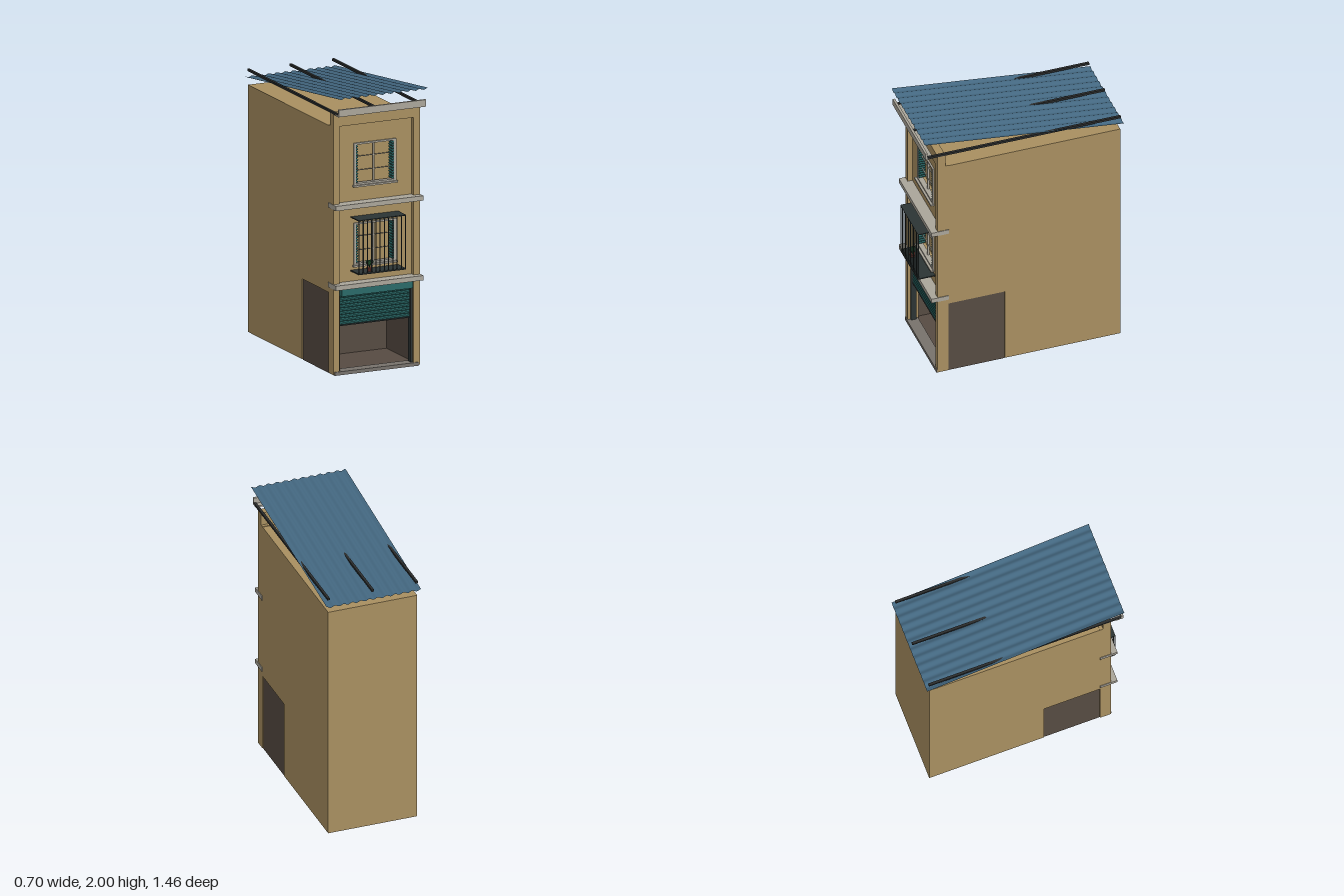
import * as THREE from 'three';

const mat = (color) => new THREE.MeshStandardMaterial({ color, side: THREE.DoubleSide, flatShading: true });
const TAN = mat(0xa88f60), TRIM = mat(0xaaa59a), TEAL = mat(0x2a6a68), DARK = mat(0x2c3434),
  ROOF = mat(0x436780), BROWN = mat(0x564b42), BEAM = mat(0x2a2c2c), GREEN = mat(0x1f4a2a),
  CLAY = mat(0x7a3a30), CURB = mat(0x77726c);

function add(parent, name, geo, material) {
  const m = new THREE.Mesh(geo, material);
  m.name = name;
  parent.add(m);
  return m;
}

// Box given by its limits on each axis
function box(parent, name, material, x0, x1, y0, y1, z0, z1) {
  const m = add(parent, name, new THREE.BoxGeometry(x1 - x0, y1 - y0, z1 - z0), material);
  m.position.set((x0 + x1) / 2, (y0 + y1) / 2, (z0 + z1) / 2);
  return m;
}

const poly = (pts) => new THREE.Shape(pts.map(([x, y]) => new THREE.Vector2(x, y)));
const rect = (w, y0, y1) => poly([[-w, y0], [w, y0], [w, y1], [-w, y1]]);
function slab(shape, z0, z1) {
  return new THREE.ExtrudeGeometry(shape, { depth: z1 - z0, bevelEnabled: false }).translate(0, 0, z0);
}
// Upside-down U around a central opening
const arch = (w, top, iw, itop) => poly([[-w, 0.005], [-iw, 0.005], [-iw, itop], [iw, itop],
  [iw, 0.005], [w, 0.005], [w, top], [-w, top]]);

// Window with frame, muntins, sill and folded louvred shutters; y0 is the frame bottom
function makeWindow(y0) {
  const g = new THREE.Group();
  g.name = 'window';
  const y1 = y0 + 0.3;
  const ring = rect(0.163, y0, y1);
  ring.holes.push(rect(0.147, y0 + 0.012, y1 - 0.012));
  add(g, 'windowFrame', slab(ring, 0.575, 0.612), TRIM);
  box(g, 'windowSill', TRIM, -0.17, 0.17, y0 - 0.012, y0, 0.59, 0.628);
  box(g, 'windowMullion', TRIM, -0.005, 0.005, y0, y1, 0.578, 0.592);
  for (const f of [0.33, 0.66]) {
    box(g, 'windowMuntin', TRIM, -0.147, 0.147, y0 + 0.3 * f - 0.002, y0 + 0.3 * f + 0.002, 0.58, 0.588);
  }
  for (const s of [-1, 1]) {
    box(g, 'shutterLeaf', DARK, s * 0.142 - 0.005, s * 0.142 + 0.005, y0 + 0.012, y1 - 0.012, 0.56, 0.605);
    for (let i = 0; i < 14; i++) {
      const y = y0 + 0.024 + i * 0.0194;
      const l = box(g, 'shutterLouvre', TEAL, s * 0.138 - 0.009, s * 0.138 + 0.009, y - 0.005, y + 0.005, 0.56, 0.607);
      l.rotation.z = s * 0.5;
    }
  }
  return g;
}

function makeBalcony() {
  const g = new THREE.Group();
  g.name = 'balcony';
  box(g, 'balconyFloor', DARK, -0.183, 0.183, 0.722, 0.73, 0.6, 0.726);
  box(g, 'balconyTop', DARK, -0.183, 0.183, 1.106, 1.112, 0.6, 0.726);
  for (let i = 0; i < 12; i++) {
    const x = -0.18 + i * 0.36 / 11;
    box(g, 'balconyBar', DARK, x - 0.003, x + 0.003, 0.725, 1.11, 0.72, 0.726);
  }
  // Potted plant
  add(g, 'flowerPot', new THREE.CylinderGeometry(0.021, 0.016, 0.025, 10), CLAY).position.set(-0.075, 0.742, 0.675);
  add(g, 'plantStem', new THREE.CylinderGeometry(0.004, 0.004, 0.03, 6), GREEN).position.set(-0.075, 0.765, 0.675);
  for (const [dx, dy, dz, r] of [[0, 0, 0, 0.02], [0.01, 0.008, 0.005, 0.016], [-0.01, 0.006, -0.005, 0.016]]) {
    add(g, 'plantLeaves', new THREE.IcosahedronGeometry(r, 1), GREEN).position.set(-0.075 + dx, 0.787 + dy, 0.675 + dz);
  }
  return g;
}

function makeGarage() {
  const g = new THREE.Group();
  g.name = 'garage';
  for (const s of [-1, 1]) {
    box(g, 'garageWall', BROWN, s * 0.32 - 0.005, s * 0.32 + 0.005, 0.005, 0.578, 0.14, 0.555);
    box(g, 'doorRail', DARK, s * 0.278 - 0.007, s * 0.278 + 0.007, 0.02, 0.56, 0.575, 0.615);
  }
  box(g, 'garageBack', BROWN, -0.315, 0.315, 0.005, 0.578, 0.141, 0.15);
  box(g, 'garageFloor', BROWN, -0.325, 0.325, 0, 0.012, 0.14, 0.6);
  box(g, 'doorstep', CURB, -0.325, 0.325, 0, 0.025, 0.56, 0.642);
  // Half-raised roller door
  box(g, 'rollerBox', TEAL, -0.274, 0.274, 0.56, 0.62, 0.59, 0.645);
  const n = 9, h = (0.56 - 0.345) / n;
  const pts = [[0.585, 0.345]];
  for (let i = 0; i < n; i++) {
    const y = 0.345 + i * h;
    pts.push([0.592, y], [0.602, y + h * 0.3], [0.602, y + h * 0.7], [0.592, y + h * 0.95]);
  }
  pts.push([0.585, 0.56]);
  const door = slab(poly(pts), -0.272, 0.272).rotateY(-Math.PI / 2);
  // The profile's first axis becomes z
  add(g, 'rollerDoor', door, TEAL);
  box(g, 'rollerDoorEdge', DARK, -0.272, 0.272, 0.34, 0.348, 0.583, 0.604);
  return g;
}

// Sloping corrugated sheet on three beams
function makeRoof() {
  const g = new THREE.Group();
  g.name = 'roof';
  const waves = 11;
  const geo = new THREE.PlaneGeometry(0.7, 1.458, waves * 8, 1).rotateX(-Math.PI / 2);
  const p = geo.attributes.position;
  for (let i = 0; i < p.count; i++) {
    const wave = 0.006 * Math.cos((p.getX(i) / 0.7 + 0.5) * waves * Math.PI * 2);
    p.setY(i, 1.909 + p.getZ(i) * 0.12 + wave);
  }
  geo.computeVertexNormals();
  const sheetMat = ROOF.clone();
  sheetMat.flatShading = false;
  add(g, 'corrugatedSheet', geo, sheetMat);
  for (const x of [-0.325, 0, 0.328]) {
    box(g, 'roofBeam', BEAM, x - 0.009, x + 0.009, 1.868, 1.884, -0.71, 0.71);
  }
  box(g, 'gutterFace', TRIM, -0.337, 0.337, 1.868, 1.918, 0.71, 0.727);
  box(g, 'gutterBase', TRIM, -0.337, 0.337, 1.866, 1.876, 0.67, 0.72);
  return g;
}

export function createModel() {
  const model = new THREE.Group();
  model.name = 'townhouse';

  // Main block, notched at the front for the garage
  const side = poly([[-0.707, 0.005], [0.14, 0.005], [0.14, 0.578], [0.555, 0.578], [0.555, 1.77], [-0.707, 1.77]]);
  add(model, 'mainBlock', slab(side, -0.33, 0.33).rotateY(-Math.PI / 2), TAN);

  // Facade: pierced wall with a raised border in front
  const wall = arch(0.332, 1.775, 0.285, 0.6);
  for (const y of [0.765, 1.335]) wall.holes.push(rect(0.155, y + 0.005, y + 0.295));
  add(model, 'facadeWall', slab(wall, 0.555, 0.6), TAN);
  add(model, 'facadeBorder', slab(arch(0.333, 1.87, 0.285, 1.775), 0.578, 0.635), TAN);

  // Floor bands
  for (const y of [0.617, 1.187]) {
    box(model, 'cornice', TRIM, -0.337, 0.337, y, y + 0.034, 0.555, 0.682);
  }
  model.add(makeWindow(0.765), makeWindow(1.335), makeBalcony(), makeGarage(), makeRoof());
  return model;
}
